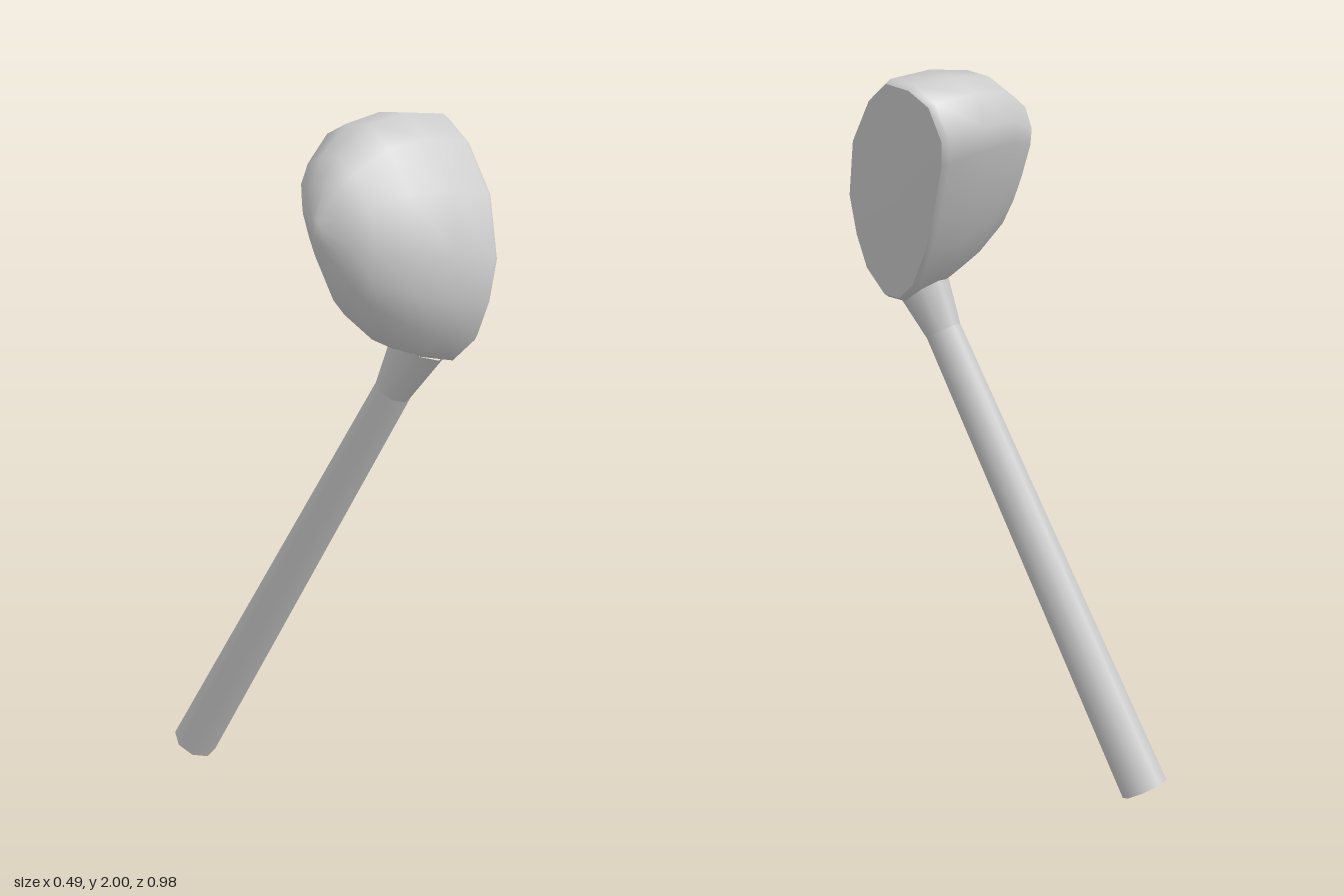
import * as THREE from 'three';
import { mergeVertices } from 'three/addons/utils/BufferGeometryUtils.js';

const material = new THREE.MeshStandardMaterial({ color: 0xcccccc });

// Striking face outline as [z, y], counter-clockwise seen from +x
const OUTLINE = [
  [0.03, 1.86], [0.07, 1.95], [0.15, 1.99], [0.25, 2.0], [0.34, 1.94],
  [0.44, 1.81], [0.49, 1.64], [0.48, 1.52], [0.45, 1.42], [0.38, 1.35],
  [0.31, 1.35], [0.24, 1.4], [0.16, 1.52], [0.1, 1.64], [0.04, 1.79],
];

// Outline fitted to the given y and z limits, leaning in x by slope k
function section([x0, k, yMin, yMax, zMin, zMax]) {
  return OUTLINE.map(([z, y]) => {
    const py = THREE.MathUtils.mapLinear(y, 1.35, 2.0, yMin, yMax);
    const pz = THREE.MathUtils.mapLinear(z, 0.03, 0.49, zMin, zMax);
    return [x0 + k * (py - 1.68), py, pz];
  });
}

// Skin through rings of equal point count
function loft(rings) {
  const n = rings[0].length;
  const index = [];
  for (let i = 0; i < rings.length - 1; i++) {
    for (let j = 0; j < n; j++) {
      const a = i * n + j, b = i * n + (j + 1) % n;
      index.push(a, b, b + n, a, b + n, a + n);
    }
  }
  let geometry = new THREE.BufferGeometry();
  geometry.setAttribute('position', new THREE.Float32BufferAttribute(rings.flat(2), 3));
  geometry.setIndex(index);
  geometry = mergeVertices(geometry, 1e-4);
  geometry.computeVertexNormals();
  return geometry;
}

function addMesh(group, name, geometry) {
  const mesh = new THREE.Mesh(geometry, material);
  mesh.name = name;
  group.add(mesh);
  return mesh;
}

export function createModel() {
  const group = new THREE.Group();
  group.name = 'golfClub';

  // Rounded head, from the back tip to the rim of the face
  const sections = [
    [-0.25, 0, 1.73, 1.73, 0.257, 0.257],
    [-0.243, 0, 1.69, 1.77, 0.235, 0.28],
    [-0.21, 0, 1.6, 1.845, 0.17, 0.34],
    [-0.16, 0.02, 1.51, 1.915, 0.11, 0.39],
    [-0.06, 0.06, 1.43, 1.985, 0.055, 0.448],
    [0.06, 0.12, 1.38, 2.0, 0.025, 0.472],
    [0.185, 0.13, 1.35, 1.985, 0.034, 0.49],
    [0.203, 0.13, 1.362, 1.973, 0.045, 0.48],
  ];
  const rings = sections.map(section);
  addMesh(group, 'head', loft(rings));

  // Flat striking face, a fan around its centre
  const rim = rings[rings.length - 1];
  const centre = rim.map(() => [0.209, 1.68, 0.26]);
  addMesh(group, 'strikingFace', loft([rim, centre]));

  // Shaft and flared neck share one leaning axis
  const stem = new THREE.Group();
  stem.name = 'stem';
  stem.position.set(-0.1, 0.033, -0.43);
  const axis = new THREE.Vector3(0.15, 1.225, 0.68).normalize();
  stem.quaternion.setFromUnitVectors(new THREE.Vector3(0, 1, 0), axis);
  group.add(stem);

  const shaftLength = 1.41, neckLength = 0.17;
  addMesh(stem, 'shaft', new THREE.CylinderGeometry(0.052, 0.067, shaftLength, 8))
    .position.y = shaftLength / 2;
  addMesh(stem, 'neck', new THREE.CylinderGeometry(0.08, 0.052, neckLength, 8, 1, true))
    .position.y = shaftLength + neckLength / 2;

  return group;
}
